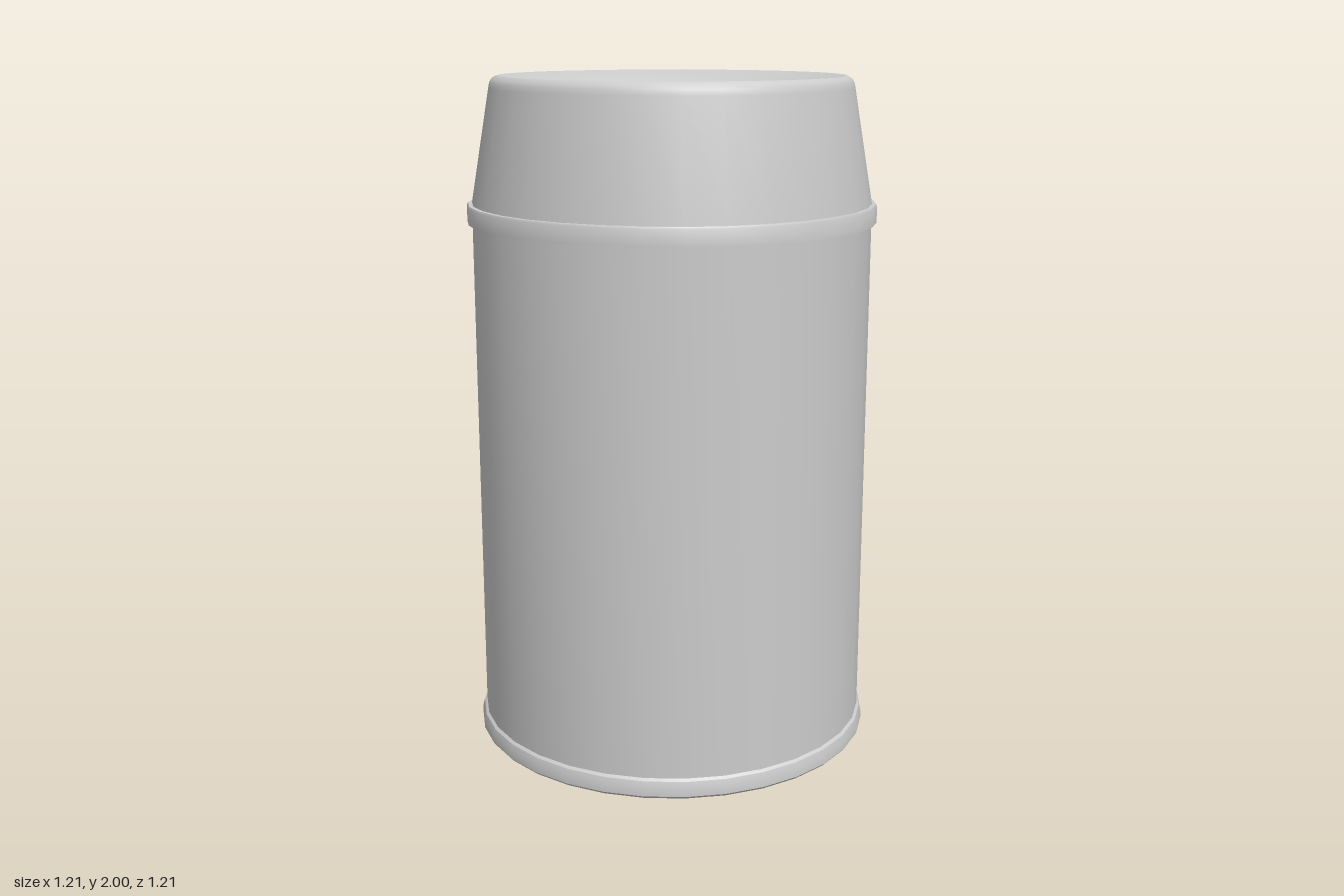
import * as THREE from 'three';
import { toCreasedNormals } from 'three/addons/utils/BufferGeometryUtils.js';

const SEGMENTS = 32;

// Revolve a profile of [radius, height] points: outside upward, inside downward.
function turned(name, profile) {
  const points = profile.map(([r, y]) => new THREE.Vector2(r, y));
  const geometry = toCreasedNormals(new THREE.LatheGeometry(points, SEGMENTS), 0.6);
  const mesh = new THREE.Mesh(geometry, new THREE.MeshStandardMaterial({ color: 0xcccccc }));
  mesh.name = name;
  return mesh;
}

export function createModel() {
  const bin = new THREE.Group();
  bin.name = 'bin';

  // Hollow drum with a closed floor
  bin.add(turned('body', [
    [0.59, 0.02], [0.59, 1.59], [0.575, 1.59], [0.575, 0.03], [0, 0.03],
  ]));

  // Foot ring with a rounded shoulder and flat underside
  bin.add(turned('base', [
    [0, 0], [0.597, 0], [0.604, 0.008], [0.604, 0.03], [0.598, 0.052], [0.588, 0.06],
  ]));

  // Band where the lid sits over the drum
  bin.add(turned('lidBand', [
    [0.588, 1.58], [0.605, 1.58], [0.605, 1.628], [0.602, 1.634], [0.585, 1.634],
  ]));

  // Tapered lid: rounded crown, dished top sloping in to the opening, hollow inside
  bin.add(turned('lid', [
    [0.592, 1.61], [0.59, 1.634], [0.533, 1.965], [0.53, 1.98], [0.523, 1.992],
    [0.51, 2], [0.495, 1.999], [0.39, 1.962],
    [0.39, 1.945], [0.495, 1.98], [0.512, 1.975], [0.518, 1.96],
    [0.575, 1.634], [0.578, 1.58], [0.59, 1.58],
  ]));

  return bin;
}
